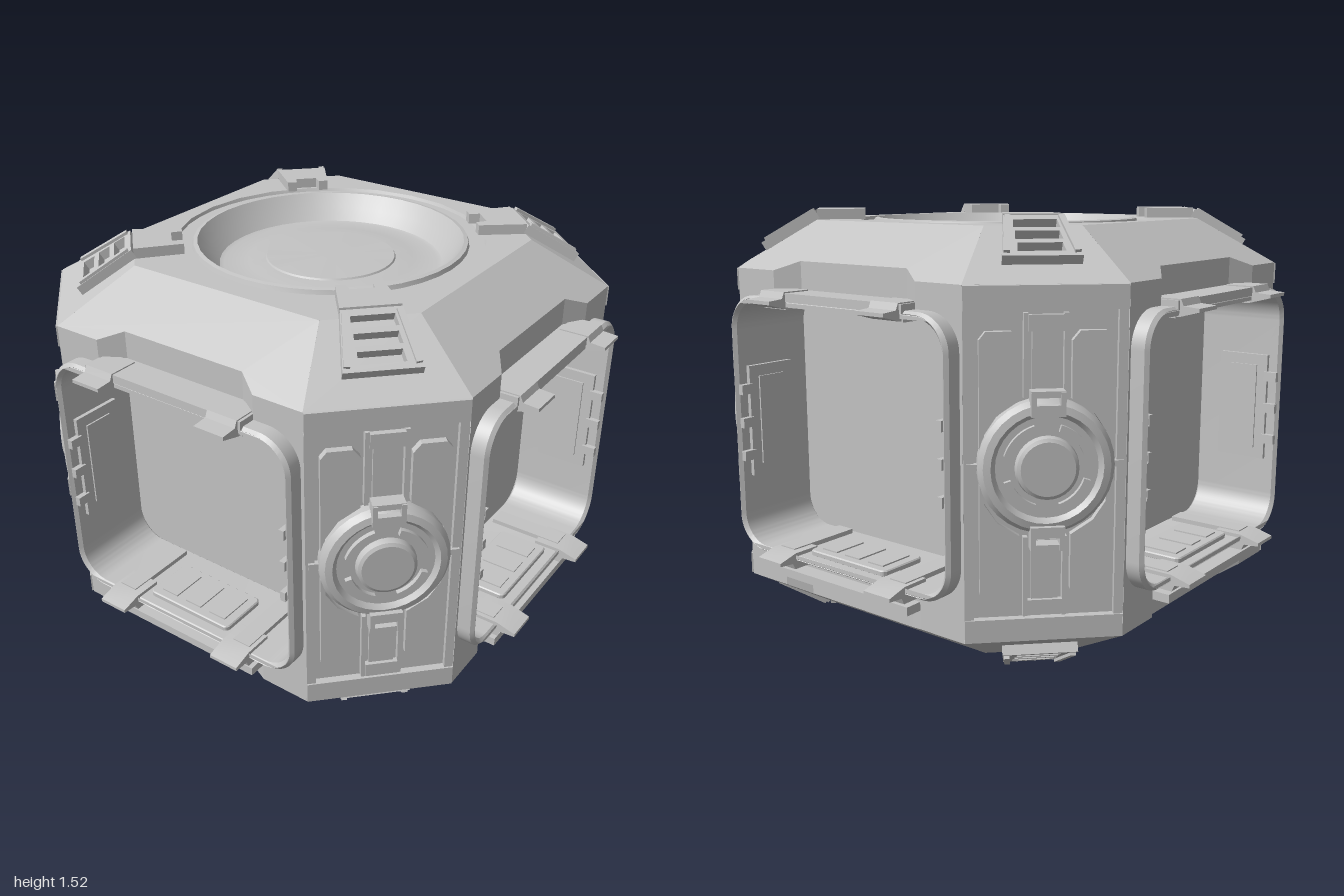
import * as THREE from 'three';
import { toCreasedNormals } from 'three/addons/utils/BufferGeometryUtils.js';

const hull = new THREE.MeshStandardMaterial({ color: 0xc4c4c4, side: THREE.DoubleSide });
hull.name = 'hull grey';

function add(parent, name, geometry, x = 0, y = 0, z = 0) {
  const mesh = new THREE.Mesh(geometry, hull);
  mesh.name = name;
  mesh.position.set(x, y, z);
  parent.add(mesh);
  return mesh;
}
function group(parent, name) {
  const g = new THREE.Group();
  g.name = name;
  parent.add(g);
  return g;
}
const box = (p, name, w, h, d, x, y, z) => add(p, name, new THREE.BoxGeometry(w, h, d), x, y, z);
const poly = (pts) => new THREE.Shape(pts.map(([x, y]) => new THREE.Vector2(x, y)));
const extrude = (shape, depth, bevel = 0) => toCreasedNormals(new THREE.ExtrudeGeometry(shape, {
  depth, bevelEnabled: bevel > 0, bevelSize: bevel, bevelThickness: bevel, bevelOffset: -bevel,
  bevelSegments: 1, curveSegments: 10,
}), 0.5);
const lathe = (pts, seg) => toCreasedNormals(
  new THREE.LatheGeometry(pts.map(([r, y]) => new THREE.Vector2(r, y)), seg), 0.4);

function roundRect(w, h, r, target = new THREE.Shape()) {
  const a = w / 2 - r, b = h / 2 - r, q = Math.PI / 2;
  target.absarc(a, b, r, 0, q);
  target.absarc(-a, b, r, q, 2 * q);
  target.absarc(-a, -b, r, 2 * q, 3 * q);
  target.absarc(a, -b, r, 3 * q, 4 * q);
  target.closePath();
  return target;
}

// Flat panel laid on a plane: each 2D point goes through the map to 3D
function panel(parent, name, shape, map) {
  const g = new THREE.ShapeGeometry(shape, 12).toNonIndexed();
  const p = g.attributes.position;
  for (let i = 0; i < p.count; i++) p.setXYZ(i, ...map(p.getX(i), p.getY(i)));
  g.computeVertexNormals();
  return add(parent, name, g);
}
// Flat quad from four corners, counter-clockwise
function quad(parent, name, a, b, c, d) {
  const g = new THREE.BufferGeometry();
  g.setAttribute('position', new THREE.Float32BufferAttribute([a, b, c, a, c, d].flat(), 3));
  g.computeVertexNormals();
  return add(parent, name, g);
}

// Heights are measured from the middle of the body
const MID = 0.765, TOP = 0.725, EAVE = 0.565, SIDE = 0.87, RIM = 0.61;
const CORNER = 0.976, CORNER_RIM = 0.7036;

function buildRoof(parent) {
  const a = 0.385, b = RIM;
  const plate = poly([[a, -b], [b, -a], [b, a], [a, b], [-a, b], [-b, a], [-b, -a], [-a, -b]]);
  plate.holes.push(new THREE.Path().absarc(0, 0, 0.56, 0, Math.PI * 2, true));
  panel(parent, 'roofPlate', plate, (x, y) => [x, TOP, -y]);
  add(parent, 'portDish', lathe([[0.562, 0.725], [0.556, 0.712], [0.5, 0.712], [0.495, 0.727], [0.48, 0.73],
    [0.445, 0.68], [0.405, 0.64], [0.39, 0.636], [0.3, 0.648], [0.237, 0.652], [0.233, 0.658], [0, 0.658]], 40));
}

// Sloped panel above a window with the recessed notch
function buildSideSlope(parent) {
  const slope = poly([[-0.51, 0], [-0.325, 0], [-0.245, 0.2], [0.245, 0.2], [0.325, 0], [0.51, 0], [0.385, 1], [-0.385, 1]]);
  panel(parent, 'sideSlope', slope, (x, s) => [x, EAVE + 0.16 * s, SIDE - 0.26 * s]);
  const f = 0.485, t = 0.597, z = 0.818;
  quad(parent, 'notchBack', [-0.245, f, z], [0.245, f, z], [0.245, t, z], [-0.245, t, z]);
  quad(parent, 'notchSideLeft', [0.245, f, z], [0.325, f, SIDE], [0.325, EAVE, SIDE], [0.245, t, z]);
  quad(parent, 'notchSideRight', [-0.325, f, SIDE], [-0.245, f, z], [-0.245, t, z], [-0.325, EAVE, SIDE]);
  box(parent, 'notchShelf', 0.65, 0.03, 0.12, 0, 0.485, 0.872);
}

function buildWindow(parent) {
  const cy = 0.022, W = 0.95, H = 0.875;
  const wall = poly([[-0.51, -EAVE], [-0.325, -EAVE], [-0.325, -0.485], [0.325, -0.485], [0.325, -EAVE], [0.51, -EAVE],
    [0.51, EAVE], [0.325, EAVE], [0.325, 0.485], [-0.325, 0.485], [-0.325, EAVE], [-0.51, EAVE]]);
  const opening = roundRect(0.97, 0.88, 0.11);
  wall.holes.push(new THREE.Path(opening.getPoints(8).map((p) => new THREE.Vector2(p.x, p.y + cy))));
  panel(parent, 'sideWall', wall, (x, y) => [x, y, SIDE]);

  const w = group(parent, 'window');
  w.position.y = cy;
  const ring = roundRect(1.0, 0.915, 0.12);
  ring.holes.push(roundRect(W, H, 0.105, new THREE.Path()));
  add(w, 'windowTunnel', extrude(ring, 0.306, 0.012), 0, 0, 0.612);
  add(w, 'windowBack', new THREE.ShapeGeometry(roundRect(0.98, 0.9, 0.11)), 0, 0, 0.605);

  // Hatch on the floor with three slots
  const hatch = roundRect(0.36, 0.19, 0.02);
  const floor = add(w, 'floorHatch', extrude(hatch, 0.014, 0.004), 0, -0.437, 0.79);
  floor.rotation.x = -Math.PI / 2;
  for (const x of [-0.11, 0, 0.11]) box(w, 'hatchRib', 0.07, 0.006, 0.13, x, -0.417, 0.79);

  for (const s of [-1, 1]) {
    // Panel and brackets on the side walls
    box(w, 'wallPanel', 0.016, 0.4, 0.19, s * 0.468, 0, 0.79);
    box(w, 'wallPanelInset', 0.008, 0.32, 0.11, s * 0.458, 0, 0.79);
    for (const y of [-0.12, 0, 0.12]) box(w, 'wallBracket', 0.02, 0.035, 0.05, s * 0.462, y, 0.9);
    box(w, 'floorRail', 0.07, 0.018, 0.28, s * 0.265, -0.43, 0.77);
    box(w, 'ceilingClip', 0.11, 0.018, 0.1, s * 0.265, 0.43, 0.87);
  }

  // Four hooks reaching over the frame edge
  const hook = poly([[0.83, 0.425], [0.93, 0.425], [1.0, 0.444], [1.0, 0.456], [0.945, 0.46], [0.935, 0.482], [0.83, 0.482]]);
  for (const turn of [0, Math.PI]) {
    const half = group(w, 'frameHooks');
    half.rotation.z = turn;
    for (const x of [-0.2, 0.315]) add(half, 'frameHook', extrude(hook, 0.115), x, 0, 0).rotation.y = -Math.PI / 2;
    half.children[0].position.x = -0.2;
  }
}

// Corner slope with the ladder bracket bent over its top edge
function buildCornerSlope(parent) {
  const slope = poly([[-0.2546, 0], [0.2546, 0], [0.159, 1], [-0.159, 1]]);
  panel(parent, 'cornerSlope', slope, (x, s) => [x, EAVE + 0.16 * s, CORNER + (CORNER_RIM - CORNER) * s]);
  box(parent, 'cornerLintel', 0.505, 0.075, 0.03, 0, 0.525, CORNER - 0.009);

  const tilt = group(parent, 'cornerBracket');
  tilt.position.set(0, EAVE, CORNER);
  tilt.rotation.x = -Math.atan2(CORNER - CORNER_RIM, 0.16);
  const ladder = poly([[-0.125, 0.1], [0.125, 0.1], [0.098, 0.325], [-0.098, 0.325]]);
  for (const y of [0.125, 0.19, 0.255]) {
    ladder.holes.push(new THREE.Path([[-0.075, y], [-0.07, y + 0.045], [0.07, y + 0.045], [0.075, y]]
      .map(([a, b]) => new THREE.Vector2(a, b))));
  }
  add(tilt, 'bracketLadder', extrude(ladder, 0.033));
  for (const s of [-1, 1]) {
    box(tilt, 'bracketRail', 0.02, 0.2, 0.014, s * 0.098, 0.215, 0.036).rotation.z = s * 0.12;
  }
  const tongue = poly([[-0.098, -0.705], [0.098, -0.705], [0.08, -0.53], [0.045, -0.53], [0.04, -0.57],
    [-0.04, -0.57], [-0.045, -0.53], [-0.08, -0.53]]);
  add(parent, 'bracketTongue', extrude(tongue, 0.037), 0, TOP, 0).rotation.x = -Math.PI / 2;
}

// Upper half of the fittings on a corner wall
function buildCornerTrim(parent) {
  box(parent, 'channelCap', 0.11, 0.05, 0.02, 0, 0.45, CORNER);
  box(parent, 'channelStrip', 0.085, 0.2, 0.012, 0, 0.33, CORNER - 0.008);
  for (const s of [-1, 1]) {
    const plate = poly([[s * 0.08, 0.215], [s * 0.08, 0.395], [s * 0.105, 0.425], [s * 0.185, 0.425],
      [s * 0.205, 0.4], [s * 0.205, 0.02], [s * 0.19, 0.02], [s * 0.19, 0.11], [s * 0.15, 0.17]]);
    add(parent, 'cornerPlate', extrude(plate, 0.025), 0, 0, CORNER - 0.02);
    box(parent, 'cornerEdge', 0.03, 0.98, 0.025, s * 0.238, 0, CORNER - 0.012);
    box(parent, 'channelEdge', 0.014, 0.26, 0.024, s * 0.062, 0.35, CORNER - 0.008);
    box(parent, 'latchArm', 0.016, 0.075, 0.05, s * 0.045, 0.21, CORNER + 0.035);
  }
  box(parent, 'latchBar', 0.105, 0.02, 0.05, 0, 0.24, CORNER + 0.03);
  box(parent, 'latchPad', 0.075, 0.035, 0.03, 0, 0.19, CORNER + 0.045);
}

function buildCornerWall(parent) {
  box(parent, 'cornerWall', 0.5, 1.0, 0.02, 0, 0, CORNER - 0.03);
  const hub = group(parent, 'cornerHub');
  hub.position.set(0, 0.01, CORNER - 0.015);
  add(hub, 'hubDisc', lathe([[0.213, 0], [0.213, 0.035], [0.198, 0.055], [0.175, 0.06], [0.16, 0.045],
    [0.1, 0.045], [0.096, 0.068], [0.085, 0.074], [0, 0.074]], 32)).rotation.x = Math.PI / 2;
  for (let i = 0; i < 4; i++) {
    const a = i * Math.PI / 2 + 0.3, b = a + 0.97;
    const arc = new THREE.Shape();
    arc.absarc(0, 0, 0.14, a, b, false);
    arc.absarc(0, 0, 0.118, b, a, true);
    add(hub, 'hubArc', extrude(arc, 0.018), 0, 0, 0.044);
  }
  for (const s of [-1, 1]) box(hub, 'hubNub', 0.04, 0.02, 0.02, s * 0.225, 0, 0.015);
}

export function createModel() {
  const model = new THREE.Group();
  model.name = 'hubModule';
  const body = group(model, 'body');
  body.position.y = MID;

  for (let i = 0; i < 4; i++) {
    const side = group(body, 'side');
    side.rotation.y = i * Math.PI / 2;
    buildWindow(side);
    const corner = group(body, 'corner');
    corner.rotation.y = (i + 0.5) * Math.PI / 2;
    buildCornerWall(corner);
    // Turning about the outward axis repeats the upper parts below
    for (const turn of [0, Math.PI]) {
      const sideHalf = group(side, 'sideHalf');
      const cornerHalf = group(corner, 'cornerHalf');
      sideHalf.rotation.z = cornerHalf.rotation.z = turn;
      buildSideSlope(sideHalf);
      buildCornerSlope(cornerHalf);
      buildCornerTrim(cornerHalf);
    }
  }
  for (const turn of [0, Math.PI]) {
    const half = group(body, turn ? 'underside' : 'roof');
    half.rotation.z = turn;
    buildRoof(half);
  }
  return model;
}
